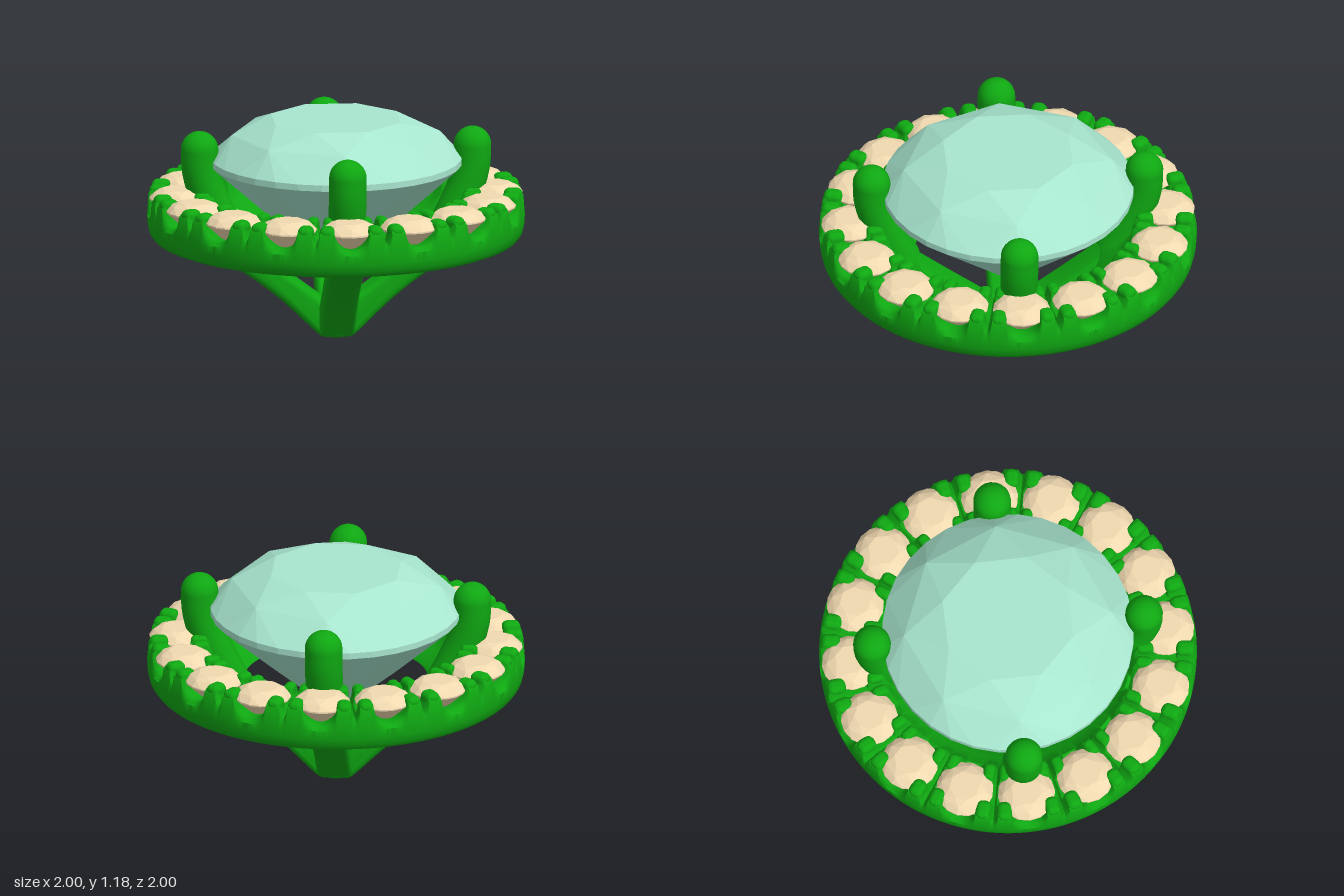
import * as THREE from 'three';
import { toCreasedNormals } from 'three/addons/utils/BufferGeometryUtils.js';
import { ConvexGeometry } from 'three/addons/geometries/ConvexGeometry.js';
import { RoundedBoxGeometry } from 'three/addons/geometries/RoundedBoxGeometry.js';

const STONES = 16;
const STEP = (Math.PI * 2) / STONES;

// Points on a horizontal circle
function circle(n, r, y, offset = 0) {
  return Array.from({ length: n }, (_, i) => {
    const a = ((i + offset) / n) * Math.PI * 2;
    return new THREE.Vector3(Math.sin(a) * r, y, Math.cos(a) * r);
  });
}

// Brilliant cut: table, crown, girdle and pavilion; girdle at y = 0, radius 1
function gemGeometry(sides) {
  return new ConvexGeometry([
    ...circle(8, 0.54, 0.34, 0.5),
    ...circle(8, 0.83, 0.22),
    ...circle(sides, 1, 0.025),
    ...circle(sides, 1, -0.025),
    ...circle(8, 0.52, -0.46, 0.5),
    new THREE.Vector3(0, -0.9, 0),
  ]);
}

// Rim height: a round scallop at each stone and a slit between neighbours
function rimHeight(angle) {
  const s = Math.abs(angle - Math.round(angle / STEP) * STEP) * 0.95;
  const half = (STEP / 2) * 0.95;
  if (s < 0.085) return 0.765 - Math.sqrt(0.085 ** 2 - s * s);
  return 0.785 - 0.07 * THREE.MathUtils.smoothstep(s, half - 0.025, half - 0.005);
}

// Halo ring: a closed cross-section swept around y with a scalloped top
function haloGeometry() {
  const n = 512, pos = [], idx = [];
  let m = 0;
  for (let i = 0; i < n; i++) {
    const a = (i / n) * Math.PI * 2;
    const h = rimHeight(a), floor = Math.min(h - 0.01, 0.72);
    const section = [
      [0.49, 0.54], [0.5, 0.532], [0.52, 0.53], [0.91, 0.53], [0.94, 0.533],
      [0.97, 0.545], [0.988, 0.57], [0.997, 0.61], [1, 0.66], [0.992, h - 0.02],
      [0.98, h - 0.004], [0.965, h], [0.91, h], [0.9, h - 0.006], [0.89, floor],
      [0.78, floor], [0.77, h - 0.006], [0.76, h], [0.69, h], [0.675, h - 0.01],
      [0.668, h - 0.03], [0.65, 0.67], [0.58, 0.6], [0.5, 0.555],
    ];
    m = section.length;
    section.forEach(([r, y], j) => {
      pos.push(Math.sin(a) * r, y, Math.cos(a) * r);
      const k = (j + 1) % m, p = i * m, q = ((i + 1) % n) * m;
      idx.push(p + j, q + j, q + k, p + j, q + k, p + k);
    });
  }
  const g = new THREE.BufferGeometry();
  g.setAttribute('position', new THREE.Float32BufferAttribute(pos, 3));
  g.setIndex(idx);
  return toCreasedNormals(g, 0.9);
}

// Support leg: curved outline in radius and height, extruded with soft edges
function legGeometry() {
  const v = (x, y) => new THREE.Vector2(x, y);
  const s = new THREE.Shape();
  s.moveTo(0, 0.21);
  s.lineTo(0, 0.005);
  s.lineTo(0.07, 0.005);
  s.splineThru([v(0.11, 0.03), v(0.31, 0.22), v(0.54, 0.39), v(0.74, 0.49), v(0.93, 0.54)]);
  s.lineTo(0.93, 0.58);
  s.lineTo(0.56, 0.58);
  s.splineThru([v(0.5, 0.53), v(0.28, 0.36), v(0, 0.21)].slice(0, 2));
  s.lineTo(0.08, 0.21);
  const g = new THREE.ExtrudeGeometry(s, {
    depth: 0.12, bevelThickness: 0.035, bevelSize: 0.035, bevelOffset: -0.035,
    bevelSegments: 4, curveSegments: 20,
  });
  g.translate(0, 0, -0.06);
  return toCreasedNormals(g, 0.7);
}

export function createModel() {
  const model = new THREE.Group();
  const metal = new THREE.MeshStandardMaterial({ color: 0x0fa812 });
  const mint = new THREE.MeshStandardMaterial({ color: 0xa8e6cf, flatShading: true });
  const cream = new THREE.MeshStandardMaterial({ color: 0xf0d9b0, flatShading: true });
  const add = (parent, name, geometry, material) => {
    const mesh = new THREE.Mesh(geometry, material);
    mesh.name = name;
    parent.add(mesh);
    return mesh;
  };

  // Centre stone
  const centre = add(model, 'centreStone', gemGeometry(32), mint);
  centre.scale.setScalar(0.667);
  centre.position.y = 0.95;

  add(model, 'haloRing', haloGeometry(), metal);

  // Small stones, each held by four bead tabs
  const smallGem = gemGeometry(16);
  const outerTab = new RoundedBoxGeometry(0.08, 0.2, 0.1, 3, 0.032);
  const innerTab = new RoundedBoxGeometry(0.06, 0.18, 0.09, 3, 0.026);
  for (let i = 0; i < STONES; i++) {
    const setting = new THREE.Group();
    setting.name = 'haloSetting';
    setting.rotation.y = i * STEP;
    const gem = add(setting, 'haloStone', smallGem, cream);
    gem.scale.set(0.152, 0.155, 0.152);
    gem.position.set(0, 0.76, 0.84);
    for (const side of [-1, 1]) {
      const outer = add(setting, 'outerTab', outerTab, metal);
      outer.position.set(side * 0.127, 0.708, 0.93);
      outer.rotation.y = side * 0.135;
      const inner = add(setting, 'innerTab', innerTab, metal);
      inner.position.set(side * 0.1, 0.715, 0.718);
      inner.rotation.y = side * 0.14;
    }
    model.add(setting);
  }

  // Four legs on the diagonals, each rising into a claw with a domed tip
  const leg = legGeometry();
  const path = new THREE.CatmullRomCurve3([
    [0.56, 0.52], [0.63, 0.66], [0.69, 0.8], [0.72, 0.92], [0.725, 1.02],
  ].map(([r, y]) => new THREE.Vector3(r, y, 0)));
  const claw = new THREE.TubeGeometry(path, 24, 0.1, 24);
  const tip = new THREE.SphereGeometry(0.1, 24, 16);
  for (let i = 0; i < 4; i++) {
    const support = new THREE.Group();
    support.name = 'support';
    support.rotation.y = Math.PI / 4 + (i * Math.PI) / 2;
    add(support, 'leg', leg, metal);
    add(support, 'claw', claw, metal);
    add(support, 'clawTip', tip, metal).position.set(0.725, 1.02, 0);
    model.add(support);
  }

  // Foot where the legs meet
  const foot = new THREE.LatheGeometry([
    [0, 0.21], [0.07, 0.2], [0.1, 0.16], [0.115, 0.06], [0.108, 0.025], [0.08, 0.003], [0, 0],
  ].reverse().map(([r, y]) => new THREE.Vector2(r, y)), 32);
  add(model, 'foot', foot, metal);

  return model;
}
